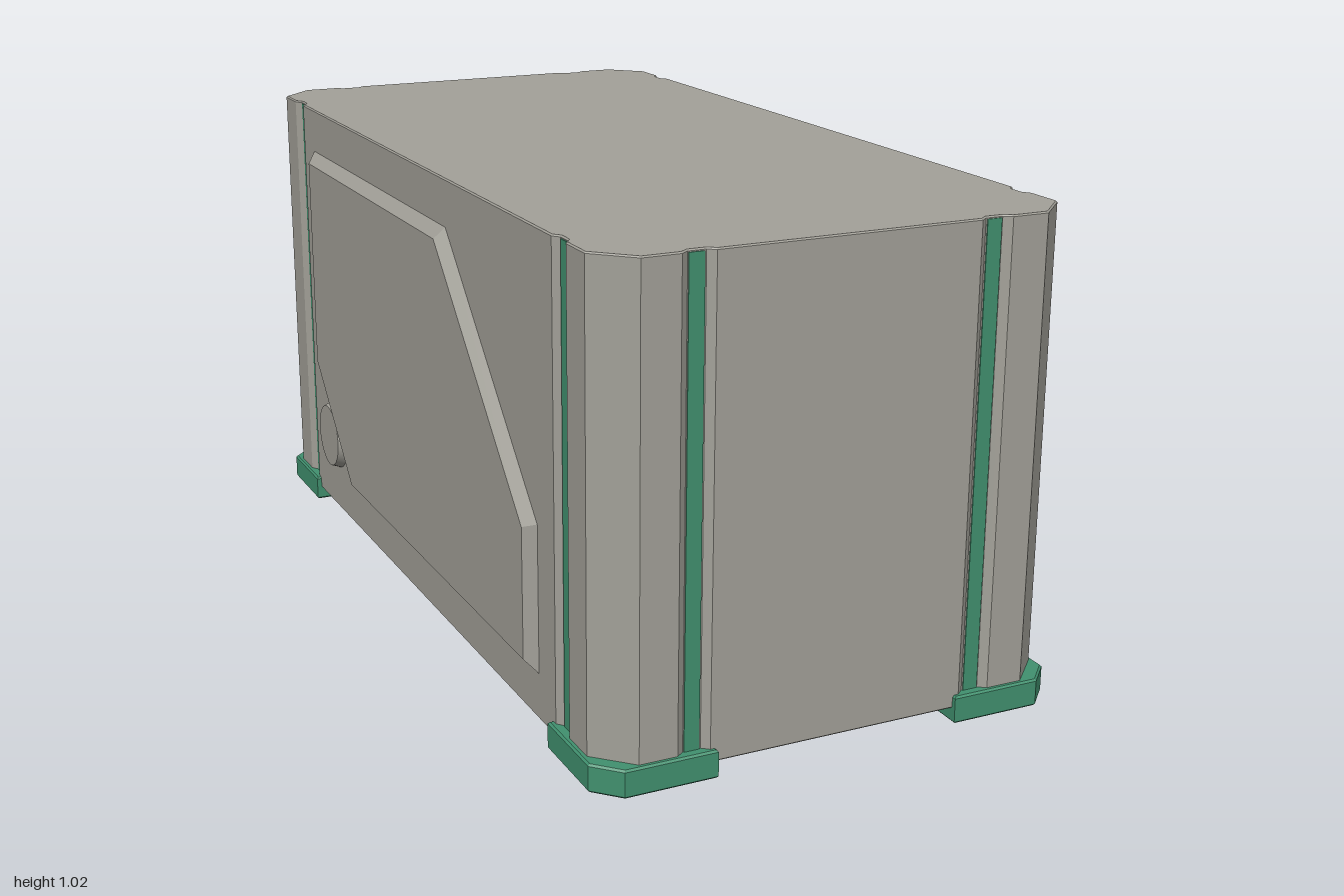
import * as THREE from 'three';

const grey = new THREE.MeshStandardMaterial({ color: 0xa3a199 });
grey.name = 'warm grey shell';
const green = new THREE.MeshStandardMaterial({ color: 0x41916f });
green.name = 'green trim';

// Extrudes an [x, z] outline upwards with a small edge bevel
function slab(points, y0, y1, bevel) {
  const shape = new THREE.Shape(points.map(([x, z]) => new THREE.Vector2(x, -z)));
  const g = new THREE.ExtrudeGeometry(shape, {
    depth: y1 - y0 - 2 * bevel, bevelEnabled: true, bevelSegments: 1,
    bevelThickness: bevel, bevelSize: bevel, bevelOffset: -bevel,
  });
  g.rotateX(-Math.PI / 2);
  g.translate(0, y0 + bevel, 0);
  return g;
}

function add(parent, name, geometry, material) {
  const mesh = new THREE.Mesh(geometry, material);
  mesh.name = name;
  parent.add(mesh);
  return mesh;
}

export function createModel() {
  const model = new THREE.Group();
  model.name = 'equipmentCase';
  const main = new THREE.Group();
  main.name = 'caseAndFeet';
  main.position.x = 0.004;
  model.add(main);

  // Shell: chamfered corners with a shallow groove on both sides of each post
  const corner = [
    [0.275, 0.987], [0.29, 0.975], [0.327, 0.975], [0.343, 0.987], [0.422, 0.987],
    [0.495, 0.915],
    [0.495, 0.835], [0.483, 0.817], [0.483, 0.785], [0.495, 0.77],
  ];
  const outline = [];
  for (const [sx, sz] of [[1, 1], [1, -1], [-1, -1], [-1, 1]]) {
    const pts = corner.map(([x, z]) => [x * sx, z * sz]);
    outline.push(...(sx * sz > 0 ? pts : pts.reverse()));
  }
  add(main, 'shell', slab(outline, 0.033, 1.02, 0.003), grey);

  // Corner feet and the strips set in the grooves
  const foot = [[0.262, 0.755], [0.506, 0.755], [0.506, 0.945], [0.455, 0.997], [0.262, 0.997]];
  for (const sx of [1, -1]) {
    for (const sz of [1, -1]) {
      add(main, 'foot', slab(foot.map(([x, z]) => [x * sx, z * sz]), 0.003, 0.061, 0.004), green);
      const endStrip = add(main, 'endStrip', new THREE.BoxGeometry(0.032, 0.965, 0.008), green);
      endStrip.position.set(0.309 * sx, 0.5325, 0.973 * sz);
      const sideStrip = add(main, 'sideStrip', new THREE.BoxGeometry(0.008, 0.965, 0.026), green);
      sideStrip.position.set(0.481 * sx, 0.5325, 0.801 * sz);
    }
  }

  // Raised side panel with sloping edges and two cut corners
  const panelShape = new THREE.Shape([
    [-0.42, 0.155], [0.665, 0.155], [0.665, 0.43],
    [0.21, 0.895], [-0.665, 0.895], [-0.665, 0.40],
  ].map(([z, y]) => new THREE.Vector2(z, y)));
  const panel = new THREE.ExtrudeGeometry(panelShape, {
    depth: 0.001, bevelEnabled: true, bevelSegments: 1, bevelThickness: 0.024, bevelSize: 0.025,
  });
  panel.rotateY(-Math.PI / 2);
  panel.translate(-0.489, 0, 0);
  add(model, 'sidePanel', panel, grey);

  // Round cap beside the cut corner
  const cap = new THREE.CylinderGeometry(0.075, 0.086, 0.03, 32);
  cap.rotateZ(Math.PI / 2);
  cap.translate(-0.497, 0.225, -0.6);
  add(model, 'roundCap', cap, grey);

  return model;
}
